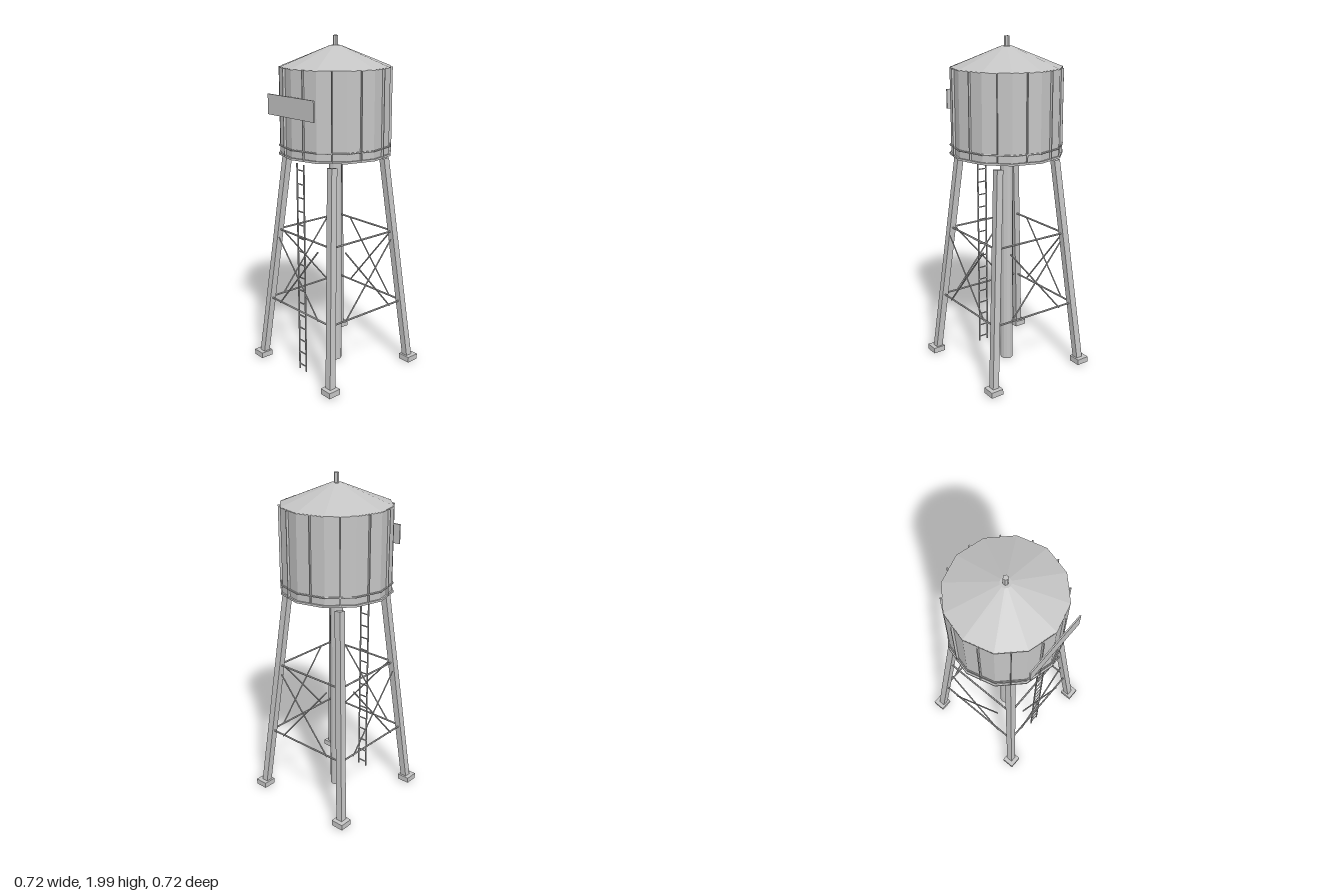
import * as THREE from 'three';

export function createModel() {
  const model = new THREE.Group();
  const steel = new THREE.MeshStandardMaterial({ color: 0xc4c4c4, flatShading: true });
  steel.name = 'light grey steel';

  const add = (name, geo, x = 0, y = 0, z = 0, parent = model) => {
    const m = new THREE.Mesh(geo, steel);
    m.name = name;
    m.position.set(x, y, z);
    parent.add(m);
    return m;
  };
  const cyl = (name, rTop, rBot, y0, y1, sides) =>
    add(name, new THREE.CylinderGeometry(rTop, rBot, y1 - y0, sides), 0, (y0 + y1) / 2, 0);
  // Round bar between two points
  const bar = (name, a, b, r, parent = model) => {
    const p = new THREE.Vector3(...a), q = new THREE.Vector3(...b);
    const d = q.clone().sub(p);
    const m = add(name, new THREE.CylinderGeometry(r, r, d.length(), 6), 0, 0, 0, parent);
    m.position.copy(p).add(q).multiplyScalar(0.5);
    m.quaternion.setFromUnitVectors(new THREE.Vector3(0, 1, 0), d.normalize());
    return m;
  };

  // Tank, roof and vent
  cyl('tank', 0.32, 0.32, 1.335, 1.83, 12);
  cyl('tankBaseRim', 0.33, 0.33, 1.335, 1.347, 12);
  cyl('roof', 0.03, 0.322, 1.828, 1.945, 12);
  cyl('vent', 0.015, 0.015, 1.93, 2.0, 6);

  // Hoop near the bottom of the tank
  const hoop = new THREE.TorusGeometry(0.325, 0.005, 6, 12);
  hoop.rotateX(Math.PI / 2);
  add('tankHoop', hoop, 0, 1.39, 0);

  // Vertical seams in the middle of each tank panel
  for (let i = 0; i < 12; i++) {
    const a = Math.PI / 12 + i * Math.PI / 6;
    const seam = add('tankSeam', new THREE.BoxGeometry(0.006, 0.485, 0.02),
      Math.sin(a) * 0.3125, 1.585, Math.cos(a) * 0.3125);
    seam.rotation.y = a;
  }

  // Sign board on the front
  add('signBoard', new THREE.BoxGeometry(0.4, 0.115, 0.008), 0, 1.625, 0.326);

  // Central riser pipe and its small valve wheel
  cyl('riserPipe', 0.038, 0.038, 0.015, 1.305, 12);
  add('valveWheel', new THREE.TorusGeometry(0.014, 0.003, 6, 10), 0, 0.617, 0.045);

  // Splayed legs on footings
  for (const sx of [-1, 1]) for (const sz of [-1, 1]) {
    const shape = new THREE.BoxGeometry(0.04, 1.3, 0.04);
    const leg = add('leg', shape, sx * 0.26, 0.659, sz * 0.26);
    const dir = new THREE.Vector3(-sx * 0.12, 1.3, -sz * 0.12).normalize();
    leg.quaternion.setFromUnitVectors(new THREE.Vector3(0, 1, 0), dir);
    add('footing', new THREE.BoxGeometry(0.078, 0.034, 0.078), sx * 0.323, 0.035, sz * 0.323);
  }

  // Bracing, repeated on the four sides
  for (let i = 0; i < 4; i++) {
    const side = new THREE.Group();
    side.name = 'sideBracing';
    side.rotation.y = i * Math.PI / 2;
    for (const [y, r] of [[0.415, 0.284], [0.86, 0.242]])
      bar('horizontalBrace', [-r, y, r], [r, y, r], 0.0055, side);
    for (const s of [-1, 1])
      bar('crossBrace', [-0.18 * s, 0.41, 0.289], [0.18 * s, 0.832, 0.289], 0.0045, side);
    model.add(side);
  }

  // Ladder
  for (const s of [-1, 1])
    add('ladderRail', new THREE.BoxGeometry(0.007, 1.285, 0.007), s * 0.03, 0.66, 0.262);
  for (let i = 0; i < 16; i++)
    add('ladderRung', new THREE.BoxGeometry(0.06, 0.006, 0.006), 0, 0.05 + i * 0.081, 0.26);

  return model;
}
